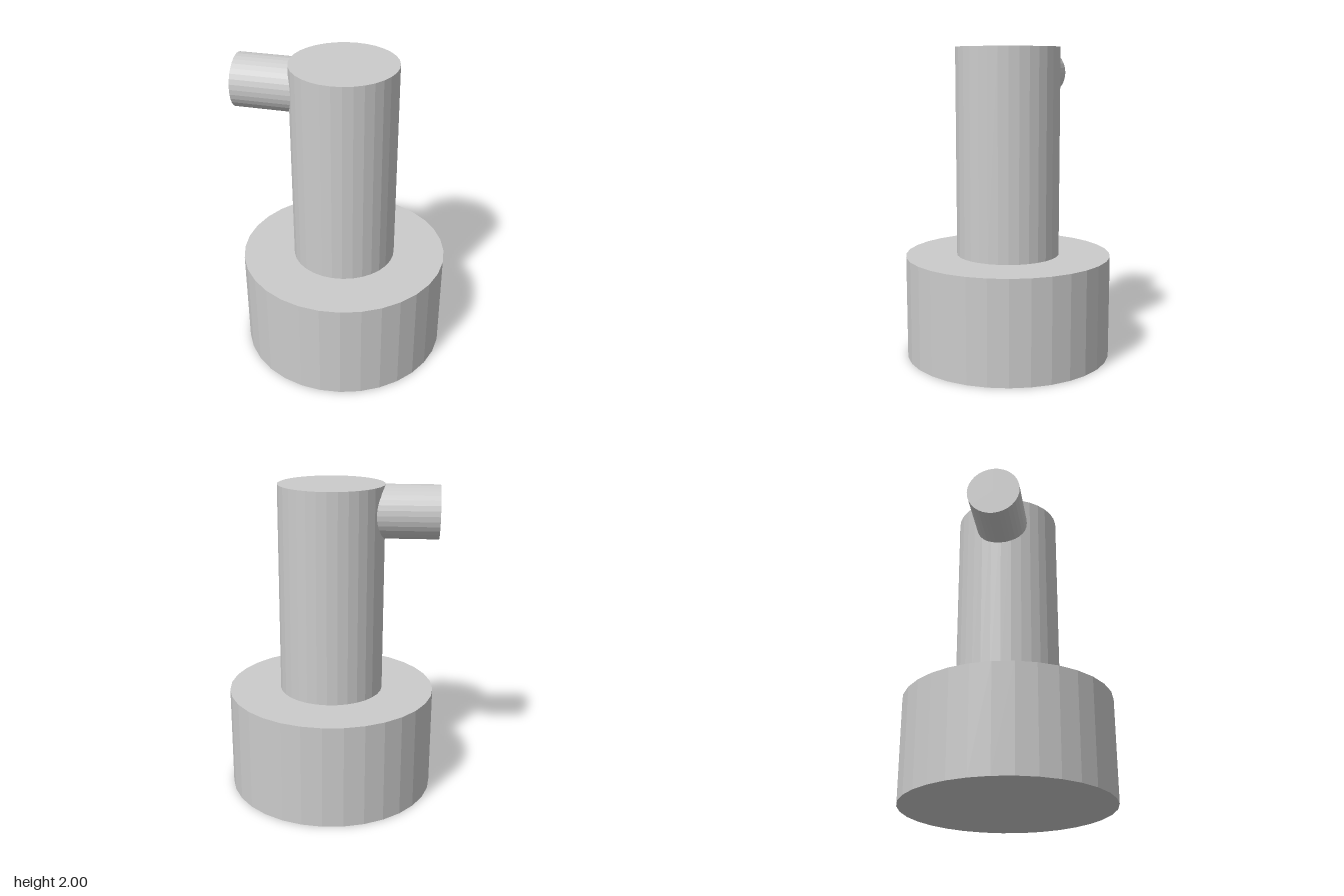
import * as THREE from 'three';

const SIDES = 32;
const material = new THREE.MeshStandardMaterial({ color: 0xcccccc, flatShading: true });

function addCylinder(group, name, radius, length, x, y) {
  const mesh = new THREE.Mesh(new THREE.CylinderGeometry(radius, radius, length, SIDES), material);
  mesh.name = name;
  mesh.position.set(x, y, 0);
  group.add(mesh);
  return mesh;
}

export function createModel() {
  const group = new THREE.Group();
  const unit = 2 / 3; // height and radius of the base

  // Wide base with a column half its radius
  addCylinder(group, 'base', unit, unit, 0, unit / 2);
  addCylinder(group, 'column', unit / 2, 2 * unit, 0, 2 * unit);

  // Side spout, flush with the column top and running in to its axis
  const spout = addCylinder(group, 'spout', unit / 4, unit, -unit / 2, 2 - unit / 4);
  spout.rotation.z = Math.PI / 2;

  return group;
}
